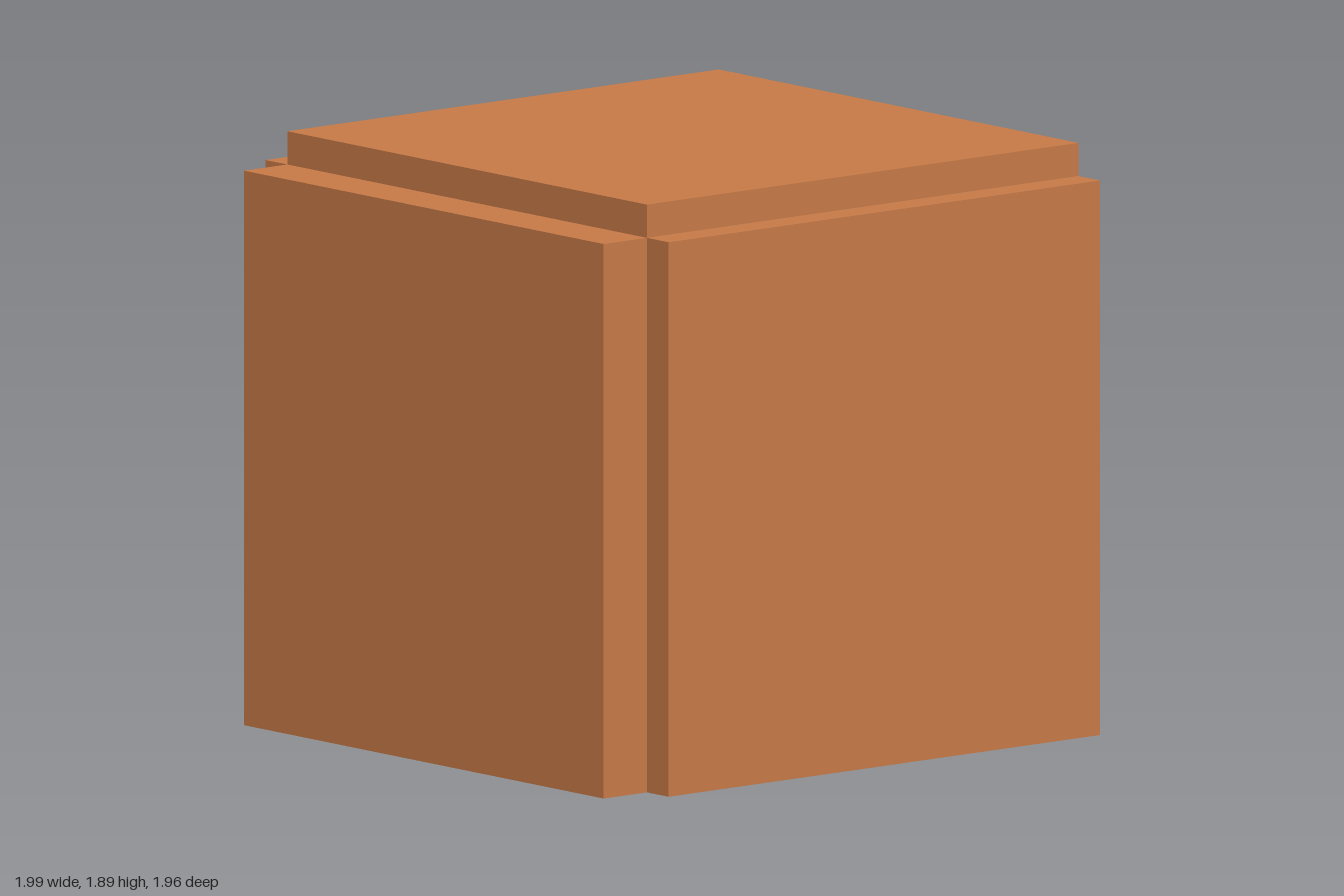
import * as THREE from 'three';

// Box faces in the order BoxGeometry stores them (6 indices each)
const FACES = ['+x', '-x', '+y', '-y', '+z', '-z'];

// Box between two corners with one face left open
function openBox(min, max, openFace) {
  const size = max.map((v, i) => v - min[i]);
  const g = new THREE.BoxGeometry(...size);
  g.translate(...max.map((v, i) => (v + min[i]) / 2));
  const start = FACES.indexOf(openFace) * 6;
  g.setIndex(Array.from(g.index.array).filter((_, i) => i < start || i >= start + 6));
  g.clearGroups();
  return g;
}

export function createModel() {
  const group = new THREE.Group();
  const terracotta = new THREE.MeshStandardMaterial({ color: 0xc87a48, side: THREE.DoubleSide });
  terracotta.name = 'terracotta';

  const outer = 0.995, inner = 0.888; // side panel faces
  const back = -0.982, step = 0.803, front = 0.982; // depth positions
  const wallTop = 1.785, roofTop = 1.892;

  // Each panel is a hollow tray, open toward the inside of the cube
  const panels = [
    ['leftPanel', [inner, 0, back], [outer, wallTop, step], '-x'],
    ['rightPanel', [-outer, 0, back], [-inner, wallTop, step], '+x'],
    ['frontPanel', [-inner, 0, step], [inner, wallTop, front], '-z'],
    ['roofPanel', [-inner, wallTop, back], [inner, roofTop, step], '-y'],
  ];
  for (const [name, min, max, open] of panels) {
    const mesh = new THREE.Mesh(openBox(min, max, open), terracotta);
    mesh.name = name;
    group.add(mesh);
  }
  return group;
}
